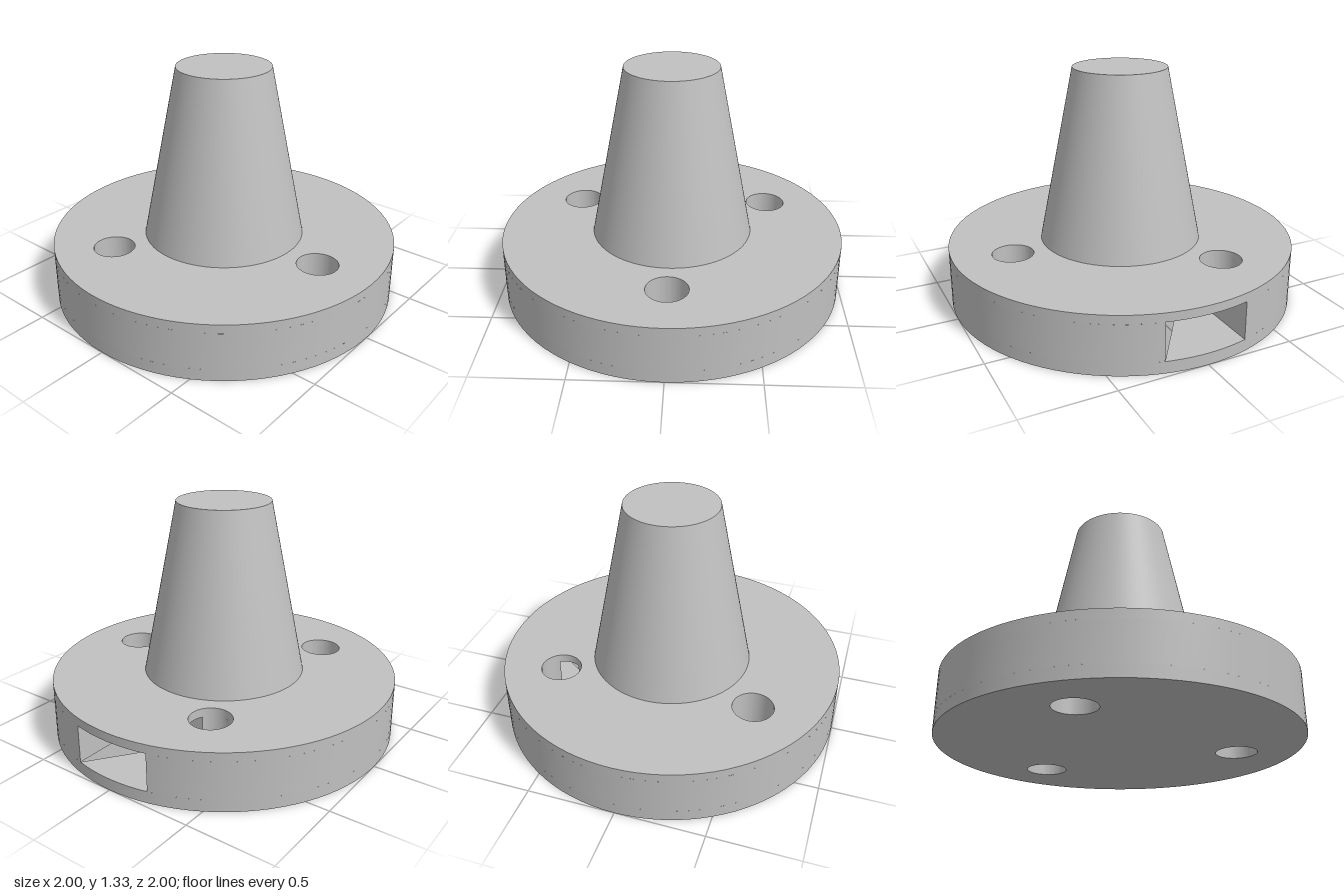
import * as THREE from 'three';
import { toCreasedNormals } from 'three/addons/utils/BufferGeometryUtils.js';

const HEIGHT = 0.333, TOP = 1.333;            // flange thickness, total height
const CONE_R = 0.467, TIP_R = 0.267;
const HOLE_R = 0.1167, HOLE_RING = 0.667;
const SLOT_W = 0.2333, SLOT_IN = 0.333, SLOT_Y0 = 0.067, SLOT_Y1 = 0.283;
const SEG = 48;

// Plan outlines are drawn in (x, -z); solid lies left of the path
const circle = (cx, cy, r, clockwise) =>
  new THREE.Path().absarc(cx, cy, r, 0, Math.PI * 2 * (clockwise ? -1 : 1), clockwise);

// Vertical wall following an outline from y0 to y1
function wall(path, y0, y1) {
  const pts = path.getPoints(SEG), pos = [];
  for (let i = 0; i < pts.length - 1; i++) {
    const p = pts[i], q = pts[i + 1];
    if (p.distanceTo(q) < 1e-6) continue;
    const a = [p.x, y0, -p.y], b = [q.x, y0, -q.y], c = [q.x, y1, -q.y], d = [p.x, y1, -p.y];
    pos.push(...a, ...b, ...c, ...a, ...c, ...d);
  }
  const geo = new THREE.BufferGeometry();
  geo.setAttribute('position', new THREE.Float32BufferAttribute(pos, 3));
  return toCreasedNormals(geo, Math.PI / 6);
}

// Flat horizontal face at height y, facing up or down
function face(shape, y, up) {
  const geo = new THREE.ShapeGeometry(shape, SEG);
  if (!up) {
    const idx = geo.index.array;
    for (let i = 0; i < idx.length; i += 3) [idx[i], idx[i + 1]] = [idx[i + 1], idx[i]];
    geo.computeVertexNormals();
  }
  return geo.rotateX(-Math.PI / 2).translate(0, y, 0);
}

export function createModel() {
  const model = new THREE.Group();
  const grey = new THREE.MeshStandardMaterial({ color: 0xc0c0c0 });
  grey.name = 'plain grey';
  const group = (name) => {
    const g = new THREE.Group();
    g.name = name;
    model.add(g);
    return g;
  };
  const add = (parent, name, geo) => {
    const mesh = new THREE.Mesh(geo, grey);
    mesh.name = name;
    parent.add(mesh);
  };

  const holes = [30, 150, 270].map((deg) => {
    const t = THREE.MathUtils.degToRad(deg);
    return new THREE.Vector2(Math.cos(t), Math.sin(t)).multiplyScalar(HOLE_RING);
  });

  // Flange faces
  const flange = group('flange');
  const disc = (extra) => {
    const s = new THREE.Shape().absarc(0, 0, 1, 0, Math.PI * 2, false);
    s.holes = holes.map((h) => circle(h.x, h.y, HOLE_R, true)).concat(extra);
    return s;
  };
  add(flange, 'flangeTop', face(disc([circle(0, 0, CONE_R, true)]), HEIGHT, true));
  add(flange, 'flangeBottom', face(disc([]), 0, false));

  // Rim and first hole, below and above the slot
  for (const [y0, y1] of [[0, SLOT_Y0], [SLOT_Y1, HEIGHT]]) {
    add(flange, 'flangeRim', wall(circle(0, 0, 1, false), y0, y1));
    add(flange, 'slottedHole', wall(circle(holes[0].x, holes[0].y, HOLE_R, true), y0, y1));
  }
  for (const h of holes.slice(1))
    add(flange, 'boltHole', wall(circle(h.x, h.y, HOLE_R, true), 0, HEIGHT));

  // Rim, slot sides and first hole at slot height: the slot just breaks into the hole
  const a = Math.asin(SLOT_W);
  const b = Math.asin((holes[0].y - SLOT_W) / HOLE_R);
  const middle = new THREE.Path();
  middle.absarc(0, 0, 1, a, Math.PI * 2 - a, false);
  middle.lineTo(SLOT_IN, -SLOT_W);
  middle.lineTo(SLOT_IN, SLOT_W);
  middle.absarc(holes[0].x, holes[0].y, HOLE_R, Math.PI + b, -b, true);
  middle.lineTo(Math.cos(a), SLOT_W);
  add(flange, 'rimAndSlotSides', wall(middle, SLOT_Y0, SLOT_Y1));

  // Slot floor and ceiling
  const slot = new THREE.Shape();
  slot.moveTo(SLOT_IN, -SLOT_W);
  slot.absarc(0, 0, 1, -a, a, false);
  slot.absarc(holes[0].x, holes[0].y, HOLE_R, -b, -Math.PI + b, true);
  slot.lineTo(SLOT_IN, SLOT_W);
  add(flange, 'slotFloor', face(slot, SLOT_Y0, true));
  add(flange, 'slotCeiling', face(slot, SLOT_Y1, false));

  // Tapered post
  const post = group('taperedPost');
  add(post, 'postSide', new THREE.CylinderGeometry(TIP_R, CONE_R, TOP - HEIGHT, SEG * 2, 1, true)
    .translate(0, (TOP + HEIGHT) / 2, 0));
  add(post, 'postTop', new THREE.CircleGeometry(TIP_R, SEG * 2).rotateX(-Math.PI / 2).translate(0, TOP, 0));

  return model;
}
